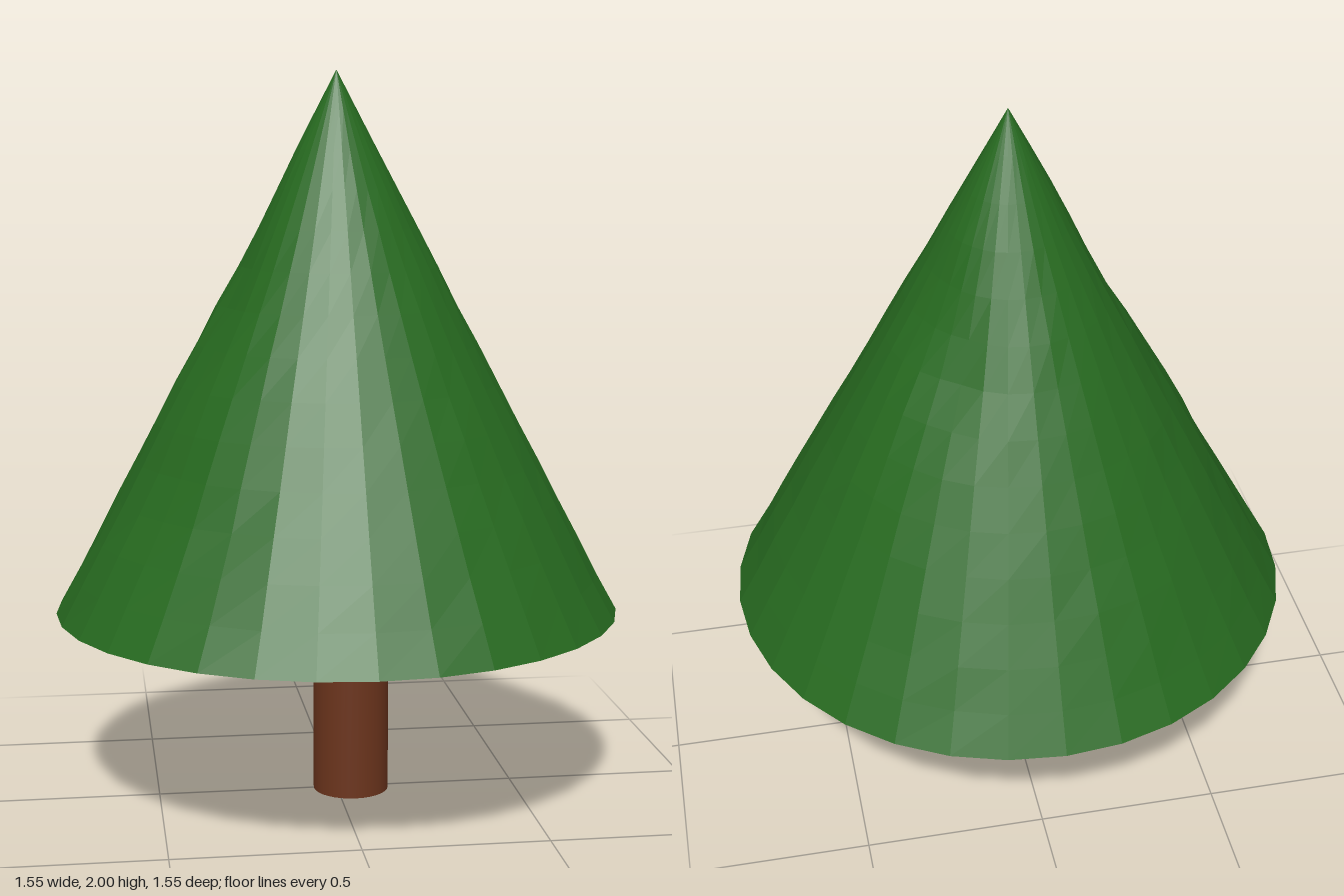
import * as THREE from 'three';

const BASE_Y = 0.53, TOP_Y = 2, RADIUS = 0.775, SIDES = 32, ROWS = 14;

// Shallow hollows in the foliage: x, z, spread, depth
const DENTS = [
  [0.2, -0.25, 0.09, 0.022], [0.24, -0.1, 0.07, 0.015],
  [-0.31, 0.1, 0.09, 0.022], [-0.5, 0.28, 0.09, 0.02],
  [-0.4, 0.5, 0.08, 0.018], [-0.24, 0, 0.08, 0.012],
  [-0.61, 0.02, 0.08, 0.012], [0.58, -0.17, 0.07, 0.012],
];

// Repeatable value from 0 to 1 for a grid cell
function hash(a, b) {
  const s = Math.sin(a * 127.1 + b * 311.7) * 43758.5453;
  return s - Math.floor(s);
}

// Cone whose surface is pressed in slightly, with a clean rim and tip
function foliageGeometry() {
  const height = TOP_Y - BASE_Y;
  const geo = new THREE.ConeGeometry(RADIUS, height, SIDES, ROWS);
  geo.translate(0, BASE_Y + height / 2, 0);
  const pos = geo.attributes.position;
  for (let i = 0; i < pos.count; i++) {
    const x = pos.getX(i), y = pos.getY(i), z = pos.getZ(i);
    const r = Math.hypot(x, z);
    const row = Math.round((TOP_Y - y) / height * ROWS);
    if (row === 0 || row === ROWS) continue;
    const turn = Math.round(Math.atan2(x, z) / (2 * Math.PI) * SIDES);
    const side = (turn + SIDES) % SIDES;
    let press = 0.004 * hash(side, row) * Math.min(1, r / 0.3);
    for (const [dx, dz, spread, depth] of DENTS) {
      const d2 = (x - dx) ** 2 + (z - dz) ** 2;
      press += depth * Math.exp(-d2 / (spread * spread));
    }
    const k = 1 - press / r;
    pos.setXYZ(i, x * k, y, z * k);
  }
  geo.computeVertexNormals();
  return geo;
}

export function createModel() {
  const tree = new THREE.Group();
  tree.name = 'tree';

  // Foliage
  const foliage = new THREE.Mesh(
    foliageGeometry(),
    new THREE.MeshStandardMaterial({ color: 0x26691f, flatShading: true }),
  );
  foliage.name = 'foliage';

  // Trunk, set a little off the axis
  const trunk = new THREE.Mesh(
    new THREE.CylinderGeometry(0.105, 0.105, BASE_Y + 0.02, 32),
    new THREE.MeshStandardMaterial({ color: 0x6b341c }),
  );
  trunk.position.set(0.04, (BASE_Y + 0.02) / 2, 0.005);
  trunk.name = 'trunk';

  tree.add(foliage, trunk);
  return tree;
}
